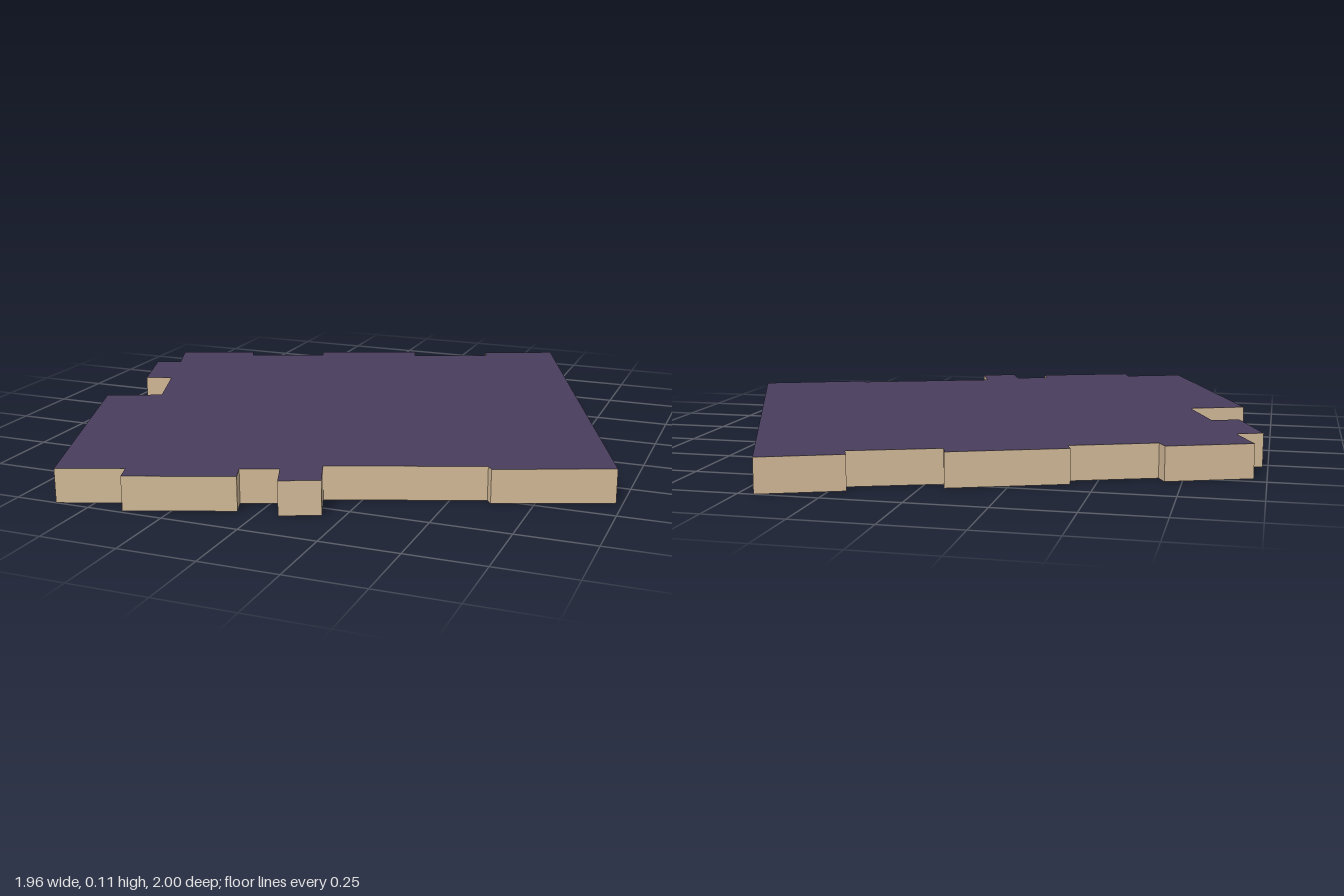
import * as THREE from 'three';
import { mergeGeometries } from 'three/addons/utils/BufferGeometryUtils.js';

const HEIGHT = 0.11;

// Footprint corners [x, z], counter-clockwise seen from above
const OUTLINE = [
  // back side
  [0.45, -1], [0.2, -0.9], [0.22, -0.85], [-0.055, -0.748], [-0.07, -0.8], [-0.425, -0.663],
  [-0.41, -0.62], [-0.675, -0.518], [-0.697, -0.563], [-0.96, -0.46],
  // right side with its recess
  [-0.898, -0.31], [-0.983, -0.277], [-0.898, -0.042], [-0.808, -0.073], [-0.722, 0.153], [-0.905, 0.224],
  // front side with its porch
  [-0.612, 1], [-0.41, 0.924], [-0.388, 0.988], [-0.064, 0.868], [-0.087, 0.804], [0.027, 0.76],
  [0.065, 0.86], [0.184, 0.808], [0.137, 0.684], [0.608, 0.511], [0.624, 0.532],
  // left side closes the loop
  [0.98, 0.393],
];

export function createModel() {
  const group = new THREE.Group();
  group.name = 'building';

  const roofMaterial = new THREE.MeshStandardMaterial({ color: 0x483d5c, side: THREE.DoubleSide });
  roofMaterial.name = 'roof purple';
  const wallMaterial = new THREE.MeshStandardMaterial({ color: 0xd2b997, side: THREE.DoubleSide });
  wallMaterial.name = 'wall tan';

  // Flat roof over the whole footprint
  const shape = new THREE.Shape(OUTLINE.map(([x, z]) => new THREE.Vector2(x, -z)));
  const roof = new THREE.Mesh(
    new THREE.ShapeGeometry(shape).rotateX(-Math.PI / 2).translate(0, HEIGHT, 0), roofMaterial);
  roof.name = 'roof';

  // One thin wall panel per footprint edge; the underside stays open
  const panels = OUTLINE.map(([x, z], i) => {
    const [nx, nz] = OUTLINE[(i + 1) % OUTLINE.length];
    const dx = nx - x, dz = nz - z;
    return new THREE.PlaneGeometry(Math.hypot(dx, dz), HEIGHT)
      .rotateY(-Math.atan2(dz, dx))
      .translate((x + nx) / 2, HEIGHT / 2, (z + nz) / 2);
  });
  const walls = new THREE.Mesh(mergeGeometries(panels), wallMaterial);
  walls.name = 'walls';

  group.add(roof, walls);
  return group;
}
